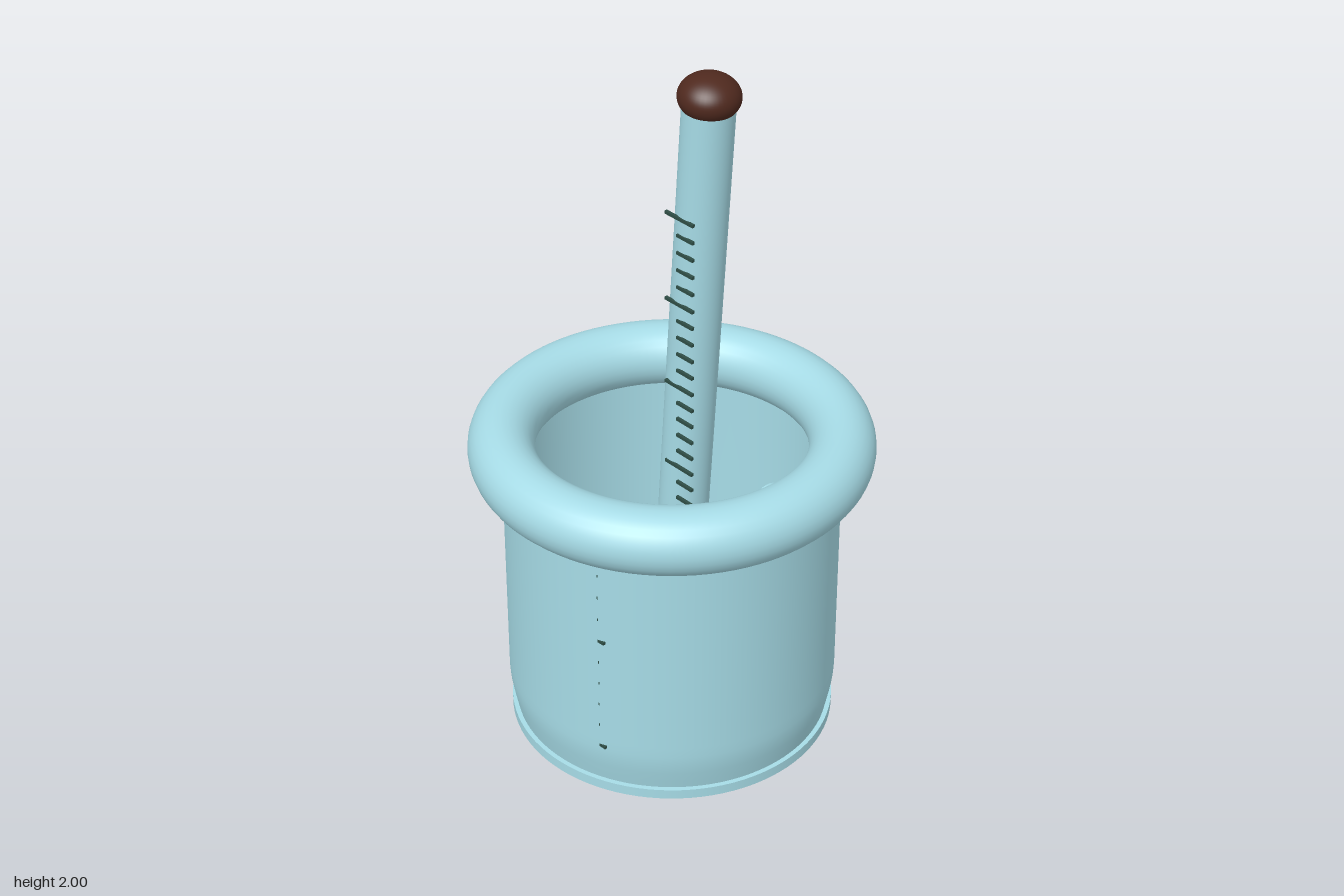
import * as THREE from 'three';

export function createModel() {
  const glass = new THREE.MeshStandardMaterial({ color: 0xa6dbe6 });
  glass.name = 'pale blue glass';
  const brown = new THREE.MeshStandardMaterial({ color: 0x4f291e });
  brown.name = 'dark brown';
  const dark = new THREE.MeshStandardMaterial({ color: 0x2f4d45 });
  dark.name = 'dark green';

  const model = new THREE.Group();
  model.name = 'beakerWithRod';
  const add = (parent, name, geometry, material, x = 0, y = 0, z = 0) => {
    const mesh = new THREE.Mesh(geometry, material);
    mesh.name = name;
    mesh.position.set(x, y, z);
    parent.add(mesh);
    return mesh;
  };
  const lathe = (points) =>
    new THREE.LatheGeometry(points.map(([x, y]) => new THREE.Vector2(x, y)), 96);

  // Beaker walls: outside from the foot upwards, inside with a rounded floor
  add(model, 'outerWall', lathe([
    [0.424, 0.05], [0.43, 0.08], [0.436, 0.11], [0.441, 0.14], [0.443, 0.17], [0.443, 0.2], [0.443, 0.87],
  ]), glass);
  add(model, 'innerWall', lathe([
    [0.41, 0.87], [0.41, 0.16], [0.404, 0.12], [0.385, 0.09], [0.35, 0.08], [0, 0.08],
  ]), glass);

  // Thick rolled rim
  const rim = new THREE.TorusGeometry(0.4425, 0.0875, 28, 96);
  rim.rotateX(Math.PI / 2);
  add(model, 'rim', rim, glass, 0, 0.865, 0);

  // Round spout plug on the inside of the rim
  const spout = new THREE.CylinderGeometry(0.072, 0.072, 0.07, 32);
  spout.rotateZ(Math.PI / 2);
  add(model, 'spout', spout, glass, 0.373, 0.82, 0);

  // Foot ring and the shallow dark underside
  add(model, 'footRing', new THREE.CylinderGeometry(0.438, 0.438, 0.028, 96), glass, 0, 0.042, 0);
  const underside = new THREE.SphereGeometry(0.415, 64, 12, 0, Math.PI * 2, Math.PI / 2, Math.PI / 2);
  underside.scale(1, 0.028 / 0.415, 1);
  add(model, 'underside', underside, dark, 0, 0.028, 0);

  // Volume marks sunk into the front wall, every fifth one longer
  const volumeMarks = new THREE.Group();
  volumeMarks.name = 'volumeMarks';
  model.add(volumeMarks);
  for (let i = 0; i < 9; i++) {
    const left = -0.01;
    const right = i % 5 === 0 ? 0.175 : 0.157;
    add(volumeMarks, 'volumeMark', new THREE.BoxGeometry(right - left, 0.008, 0.008), dark,
      (left + right) / 2, 0.18 + i * 0.0682, 0.411);
  }

  // Leaning rod with a bulb below and a rounded cap on top
  const foot = new THREE.Vector3(0.098, 0.6, 0.064);
  const top = new THREE.Vector3(0.188, 1.915, 0.064);
  const length = foot.distanceTo(top);
  const tilt = -Math.atan2(top.x - foot.x, top.y - foot.y);
  const rod = new THREE.Group();
  rod.name = 'rod';
  rod.position.copy(foot);
  rod.rotation.z = tilt;
  model.add(rod);
  add(rod, 'shaft', new THREE.CylinderGeometry(0.065, 0.065, length, 40), glass, 0, length / 2, 0);
  add(rod, 'bulb', new THREE.SphereGeometry(0.07, 32, 20), brown);
  // The cap is cut flat underneath
  const cap = new THREE.SphereGeometry(0.077, 40, 24, 0, Math.PI * 2, 0, Math.PI * 0.73);
  cap.scale(1, 0.73, 1);
  add(rod, 'cap', cap, brown, 0, length + 0.029, 0);
  const capBase = new THREE.CircleGeometry(0.077 * Math.sin(Math.PI * 0.73), 40);
  capBase.rotateX(Math.PI / 2);
  add(rod, 'capBase', capBase, brown, 0, length + 0.029 + 0.077 * 0.73 * Math.cos(Math.PI * 0.73), 0);

  // Scale marks down the front of the rod, every fifth one longer
  const scaleMarks = new THREE.Group();
  scaleMarks.name = 'scaleMarks';
  model.add(scaleMarks);
  for (let i = 0; i < 20; i++) {
    const left = i % 5 === 0 ? 0.11 : 0.15;
    const right = 0.205;
    const mark = add(scaleMarks, 'scaleMark', new THREE.BoxGeometry(right - left, 0.008, 0.008), dark,
      (left + right) / 2, 1.632 - i * 0.0475, 0.129);
    mark.rotation.z = tilt / 2;
  }

  return model;
}
